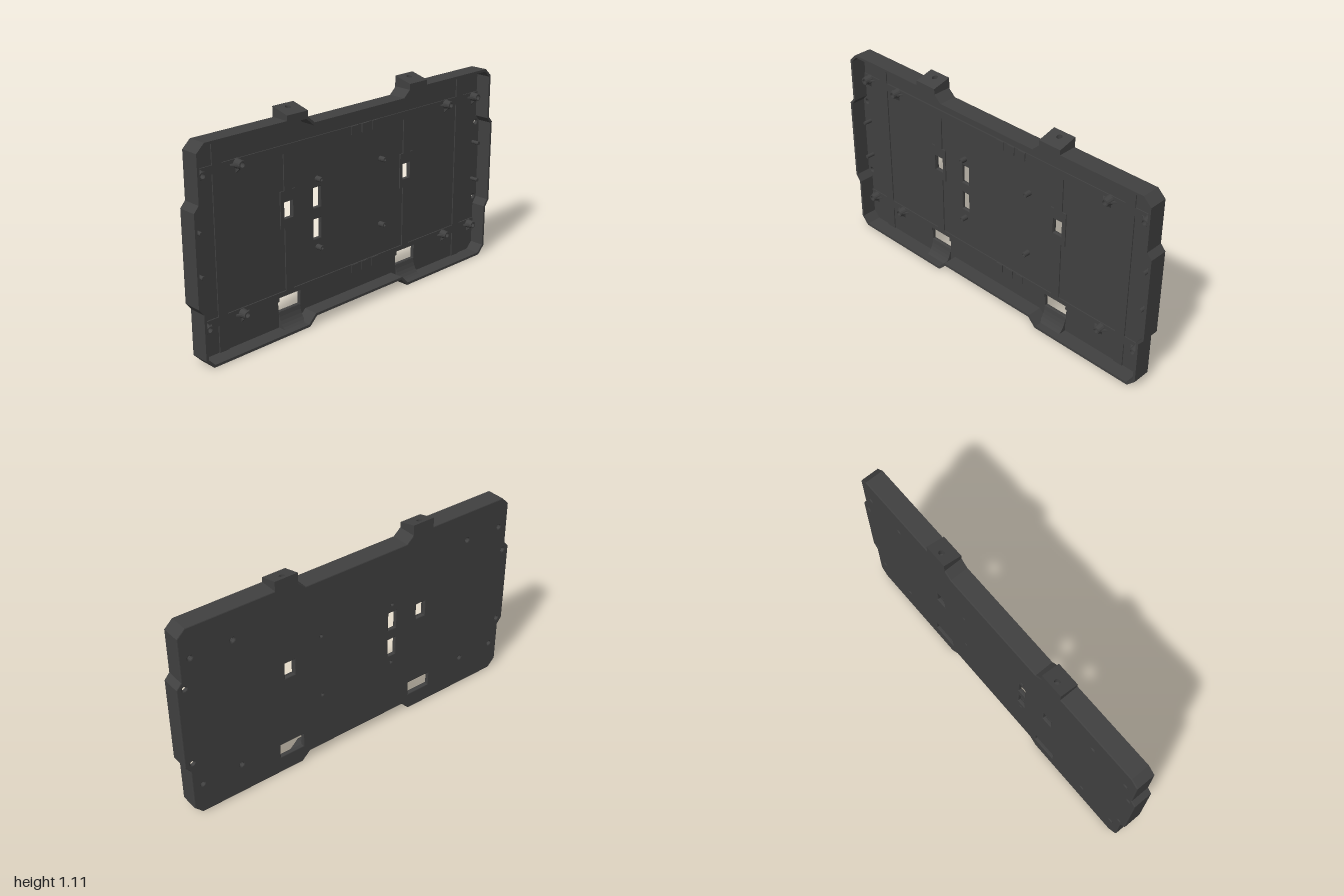
import * as THREE from 'three';

const BACK = -0.05, RIM = 0.05, FLOOR = -0.03;
const material = new THREE.MeshStandardMaterial({ color: 0x404040, flatShading: true });

// Shapes are drawn as (s, y) with s = -z, then extruded along +x.
function extrudeX(shape, x, depth, bevel = 0) {
  const g = new THREE.ExtrudeGeometry(shape, {
    depth: depth - 2 * bevel, curveSegments: 6, bevelEnabled: bevel > 0,
    bevelThickness: bevel, bevelSize: bevel, bevelOffset: -bevel, bevelSegments: 2,
  });
  return g.rotateY(Math.PI / 2).translate(x + bevel, 0, 0);
}

const polygon = (pts) => new THREE.Shape(pts.map(([a, b]) => new THREE.Vector2(a, b)));
const rect = (s0, s1, y0, y1) => polygon([[s0, y0], [s1, y0], [s1, y1], [s0, y1]]);
function circle(s, y, r) {
  const p = new THREE.Shape();
  p.absarc(s, y, r, 0, Math.PI * 2);
  return p;
}

// Moves every edge of a counter-clockwise polygon inwards by d
function inset(pts, d) {
  const n = pts.length;
  const dir = (a, b) => new THREE.Vector2(b[0] - a[0], b[1] - a[1]).normalize();
  return pts.map((p, i) => {
    const a = dir(pts[(i + n - 1) % n], p), b = dir(p, pts[(i + 1) % n]);
    const k = d / (1 + a.dot(b));
    return [p[0] - (a.y + b.y) * k, p[1] + (a.x + b.x) * k];
  });
}

// Hollow round post standing on the floor
function postGeometry(r0, r1, hole, height) {
  const pts = [[r0, 0], [r1, height], [hole, height], [hole, 0]];
  return new THREE.LatheGeometry(pts.map(([a, b]) => new THREE.Vector2(a, b)), 14).rotateZ(-Math.PI / 2);
}

export function createModel() {
  const group = new THREE.Group();
  const add = (name, geometry, x = 0, y = 0, z = 0) => {
    const mesh = new THREE.Mesh(geometry, material);
    mesh.name = name;
    mesh.position.set(x, y, z);
    group.add(mesh);
    return mesh;
  };

  // Outline: right half from bottom to top, then mirrored
  const half = [
    [0.3, 0.045], [0.345, 0], [0.93, 0], [0.973, 0.045], [0.973, 0.275], [1, 0.31],
    [1, 0.76], [0.973, 0.79], [0.973, 1.02], [0.93, 1.06], [0.345, 1.06], [0.3, 1.02],
  ];
  const outline = [...half, ...half.map(([s, y]) => [-s, y]).reverse()];

  // Positions of mounting features
  const bosses = [], posts = [], edgeHoles = [], windows = [];
  for (const m of [-1, 1]) {
    for (const y of [0.17, 0.9]) for (const s of [0.7, 0.918]) bosses.push([m * s, y]);
    for (const y of [0.36, 0.71]) posts.push([m * 0.217, y]);
    for (const y of [0.32, 0.75]) edgeHoles.push([m * 0.96, y]);
    windows.push([m * 0.403 - 0.028, m * 0.403 + 0.028, 0.56, 0.645]);
    windows.push([m * 0.407 - 0.068, m * 0.407 + 0.068, 0.095, 0.17]);
  }
  windows.push([-0.24, -0.195, 0.565, 0.665], [-0.24, -0.195, 0.405, 0.505]);

  // Back plate with its openings
  const plate = polygon(outline);
  plate.holes.push(
    ...windows.map((w) => rect(...w)),
    ...bosses.map(([s, y]) => circle(s, y, 0.012)),
    ...edgeHoles.map(([s, y]) => circle(s, y, 0.012)),
    ...posts.map(([s, y]) => circle(s, y, 0.006)),
  );
  add('backPlate', extrudeX(plate, BACK, FLOOR - BACK, 0.005));

  // Surrounding wall
  const wall = polygon(outline);
  wall.holes.push(polygon(inset(outline, 0.013)));
  add('sideWall', extrudeX(wall, BACK + 0.005, RIM - BACK - 0.005));

  // Low ribs on the floor, pierced wherever an opening falls inside them
  const rib = (name, s0, s1, y0, y1, height = 0.006) => {
    const shape = rect(s0, s1, y0, y1);
    for (const w of windows)
      if (w[0] > s0 && w[1] < s1 && w[2] > y0 && w[3] < y1) shape.holes.push(rect(...w));
    for (const [s, y] of bosses)
      if (s > s0 && s < s1 && y > y0 && y < y1) shape.holes.push(circle(s, y, 0.013));
    add(name, extrudeX(shape, FLOOR - 0.001, height + 0.001));
  };
  rib('upperRib', -0.965, 0.965, 0.88, 0.922);
  rib('lowerRib', -0.339, 0.339, 0.15, 0.195);
  for (const m of [-1, 1]) {
    const side = (name, a, b, y0, y1) => rib(name, Math.min(m * a, m * b), Math.max(m * a, m * b), y0, y1);
    side('lowerRib', 0.475, 0.965, 0.15, 0.195);
    side('lowerRib', 0.339, 0.475, 0.17, 0.195);
    side('endRib', 0.785, 0.838, 0.008, 1.052);
    side('dividerRib', 0.38, 0.428, 0.195, 0.515);
    side('dividerFrame', 0.357, 0.453, 0.515, 0.7);
    side('dividerRib', 0.38, 0.428, 0.7, 0.88);
  }
  // Raised bars beside the middle of the long ribs
  for (const y of [0.172, 0.9])
    for (const s of [0.03, 0.1, 0.17]) rib('cableBar', s - 0.022, s + 0.022, y - 0.022, y + 0.022, 0.01);

  // Screw bosses with triangular gussets
  const bossGeo = postGeometry(0.024, 0.019, 0.012, 0.045);
  const gussetGeo = new THREE.ExtrudeGeometry(polygon([[0, 0.015], [0, 0.046], [0.034, 0.015]]),
    { depth: 0.008, bevelEnabled: false }).translate(0, 0, -0.004);
  for (const [s, y] of bosses) {
    add('screwBoss', bossGeo, FLOOR, y, -s);
    add('bossGusset', gussetGeo, FLOOR, y, -s).rotation.x = Math.PI;
    add('bossGusset', gussetGeo, FLOOR, y, -s).rotation.x = -Math.PI / 2;
    add('bossGusset', gussetGeo, FLOOR, y, -s).rotation.x = Math.PI / 2;
  }

  // Board posts and locating pins
  const postGeo = postGeometry(0.014, 0.013, 0.006, 0.035);
  for (const [s, y] of posts) add('boardPost', postGeo, FLOOR, y, -s);
  const pinGeo = new THREE.CylinderGeometry(0.01, 0.01, 0.045, 12).rotateZ(-Math.PI / 2);
  for (const z of [-0.94, 0.94])
    for (const y of [0.43, 0.64]) add('locatingPin', pinGeo, FLOOR + 0.0225, y, z);

  // Curved ramps below the bottom openings
  const ramp = new THREE.Shape();
  ramp.moveTo(FLOOR - 0.002, 0.005);
  ramp.lineTo(0.03, 0.005);
  ramp.quadraticCurveTo(-0.02, 0.02, FLOOR, 0.092);
  ramp.lineTo(FLOOR - 0.002, 0.092);
  const rampGeo = new THREE.ExtrudeGeometry(ramp, { depth: 0.136, bevelEnabled: false, curveSegments: 6 })
    .translate(0, 0, -0.068);

  // Top lugs: drilled blocks whose top slopes down towards the open side
  const lug = rect(BACK, RIM, -0.063, 0.063);
  lug.holes.push(circle(-0.015, 0, 0.014));
  const lugGeo = new THREE.ExtrudeGeometry(lug, { depth: 0.05, bevelEnabled: false, curveSegments: 8 })
    .rotateX(-Math.PI / 2).translate(0, 1.05, 0);
  const p = lugGeo.attributes.position;
  for (let i = 0; i < p.count; i++)
    if (p.getY(i) > 1.07) p.setY(i, 1.11 - (p.getX(i) - BACK) * 0.25);
  for (const m of [-1, 1]) {
    add('outletRamp', rampGeo, 0, 0, m * 0.407);
    add('topLug', lugGeo, 0, 0, m * 0.403);
  }
  return group;
}
